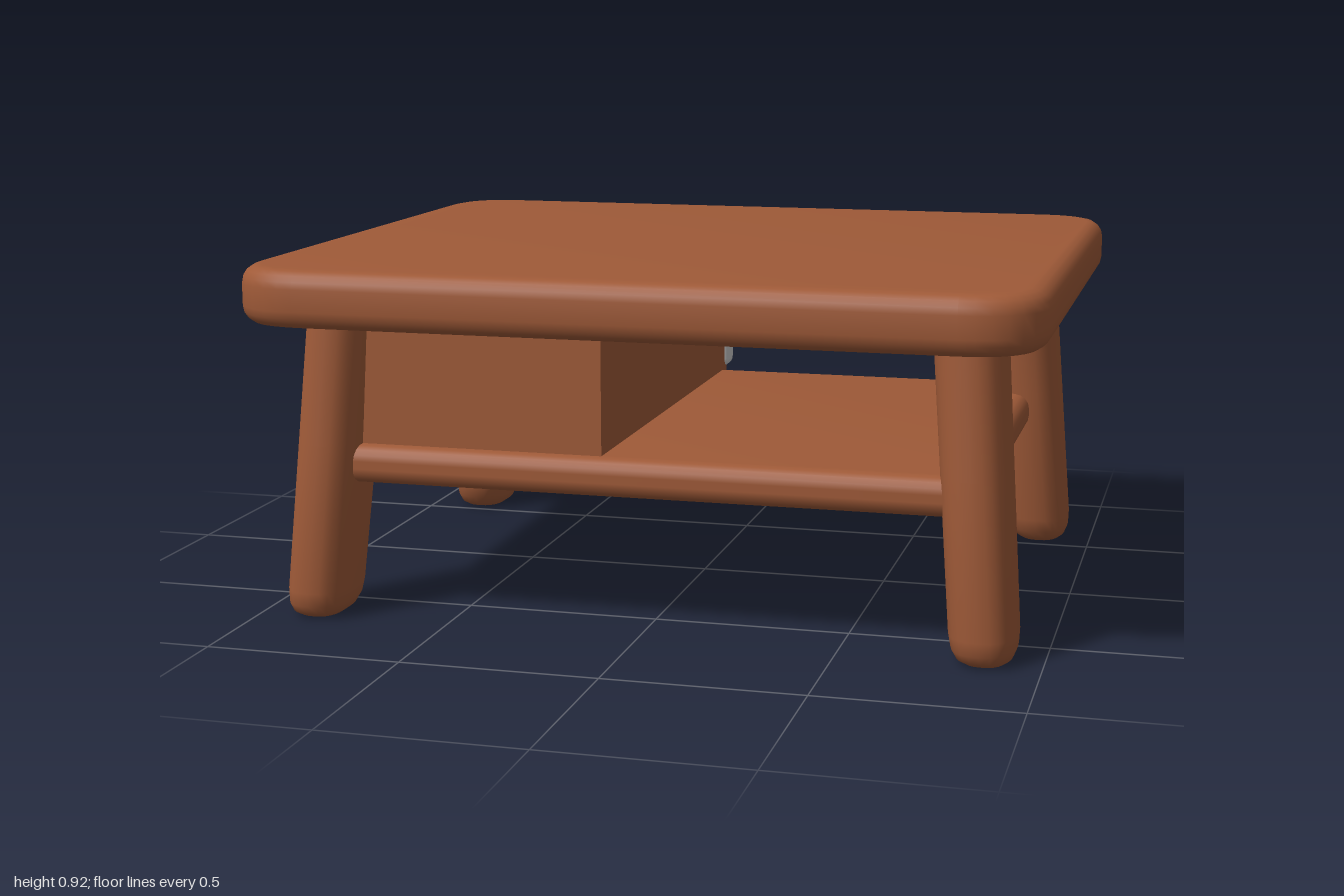
import * as THREE from 'three';
import { toCreasedNormals } from 'three/addons/utils/BufferGeometryUtils.js';
import { RoundedBoxGeometry } from 'three/addons/geometries/RoundedBoxGeometry.js';

// Rounded rectangle outline, inset so that the bevel brings it to full size
function outline(w, d, r) {
  const x = w / 2, y = d / 2, s = new THREE.Shape();
  s.moveTo(-x + r, -y);
  s.lineTo(x - r, -y);
  s.quadraticCurveTo(x, -y, x, -y + r);
  s.lineTo(x, y - r);
  s.quadraticCurveTo(x, y, x - r, y);
  s.lineTo(-x + r, y);
  s.quadraticCurveTo(-x, y, -x, y - r);
  s.lineTo(-x, -y + r);
  s.quadraticCurveTo(-x, -y, -x + r, -y);
  return s;
}

// Slab with soft edges, centred on the origin, thickness along z
function slab(w, d, t, r, bevel, segments, crease) {
  const g = new THREE.ExtrudeGeometry(outline(w - 2 * bevel, d - 2 * bevel, r), {
    depth: t - 2 * bevel, bevelSize: bevel, bevelThickness: bevel,
    bevelSegments: segments, curveSegments: segments === 1 ? 1 : 8,
  });
  g.translate(0, 0, -t / 2 + bevel);
  return toCreasedNormals(g, crease);
}

// Splayed leg with a squarish oval section and a rounded foot
function legGeometry(sx, sz) {
  const rings = [[0, 0], [0, 0.62], [0.012, 0.82], [0.035, 0.95], [0.07, 1], [0.45, 1.02], [0.82, 1.04]];
  const n = 24, pos = [], index = [];
  const soft = (v) => Math.sign(v) * Math.abs(v) ** 0.8;
  for (const [y, k] of rings) {
    const t = y / 0.77;
    const cx = 0.857 - 0.06 * t, cz = 0.62 - 0.07 * t;
    const rx = 0.084 * k, rz = (0.122 + 0.012 * t) * k;
    for (let i = 0; i < n; i++) {
      const a = (i / n) * Math.PI * 2;
      pos.push(sx * (cx + rx * soft(Math.cos(a))), y, sz * (cz + rz * soft(Math.sin(a))));
    }
  }
  for (let j = 0; j < rings.length - 1; j++) {
    for (let i = 0; i < n; i++) {
      const a = j * n + i, b = j * n + (i + 1) % n, c = a + n, d = b + n;
      // mirrored legs need the opposite winding
      if (sx * sz > 0) index.push(a, c, b, b, c, d);
      else index.push(a, b, c, b, d, c);
    }
  }
  const g = new THREE.BufferGeometry();
  g.setAttribute('position', new THREE.Float32BufferAttribute(pos, 3));
  g.setIndex(index);
  return toCreasedNormals(g, 0.8);
}

export function createModel() {
  const wood = new THREE.MeshStandardMaterial({ color: 0x9f5a38 });
  wood.name = 'brown wood';
  const grey = new THREE.MeshStandardMaterial({ color: 0xc8c8c8 });
  grey.name = 'light grey';

  const table = new THREE.Group();
  table.name = 'table';
  const add = (name, geometry, material, x = 0, y = 0, z = 0) => {
    const m = new THREE.Mesh(geometry, material);
    m.name = name;
    m.position.set(x, y, z);
    table.add(m);
    return m;
  };

  // Top and lower shelf
  add('tableTop', slab(2, 1.74, 0.145, 0.15, 0.045, 4, 0.7).rotateX(-Math.PI / 2), wood, 0, 0.8425);
  add('shelf', slab(1.66, 1.32, 0.1, 0.04, 0.04, 4, 0.7).rotateX(-Math.PI / 2), wood, 0, 0.395);

  // Four legs
  for (const sx of [-1, 1]) {
    for (const sz of [-1, 1]) {
      add(`${sz > 0 ? 'front' : 'back'}${sx > 0 ? 'Left' : 'Right'}Leg`, legGeometry(sx, sz), wood);
    }
  }

  // Drawer case between shelf and top, opening to the back
  add('drawerCase', new THREE.BoxGeometry(0.69, 0.36, 1.29), wood, -0.45, 0.61, -0.025);
  add('drawerFront', new RoundedBoxGeometry(0.71, 0.325, 0.09, 3, 0.025), grey, -0.45, 0.61, -0.685);
  add('drawerHandle', slab(0.21, 0.105, 0.13, 0.012, 0.02, 1, 0.3), wood, -0.45, 0.602, -0.78);

  return table;
}
